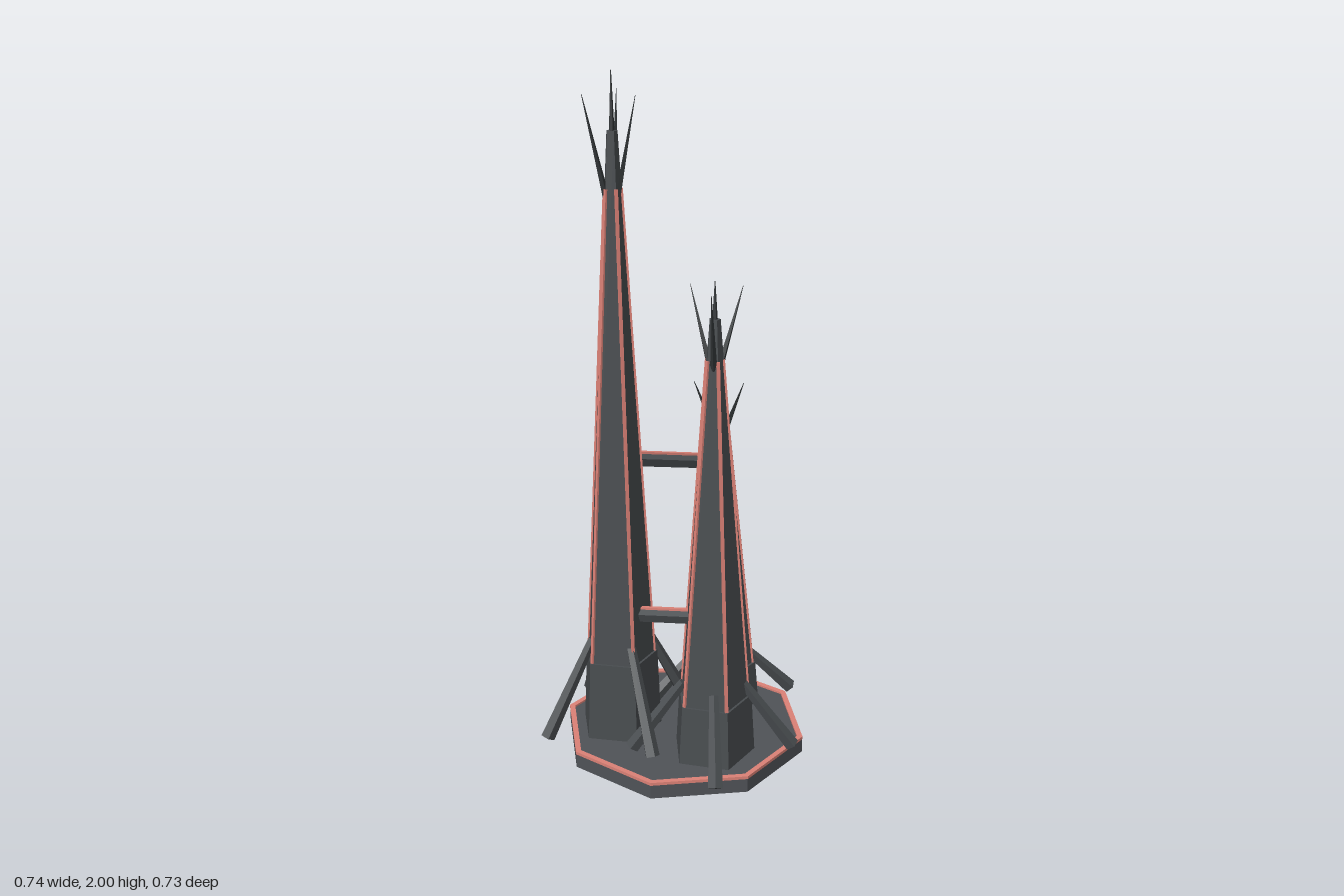
import * as THREE from 'three';

const V = (x, y, z) => new THREE.Vector3(x, y, z);
const UP = V(0, 1, 0);
const rad = THREE.MathUtils.degToRad;

const mat = (name, color) => {
  const m = new THREE.MeshStandardMaterial({ color, flatShading: true });
  m.name = name;
  return m;
};

export function createModel() {
  const stone = mat('dark stone', 0x494d50);
  const slabStone = mat('slab stone', 0x505358);
  const iron = mat('dark iron', 0x323638);
  const glow = mat('salmon trim', 0xdd8277);
  const root = new THREE.Group();
  root.name = 'threeSpires';

  const add = (parent, name, geo, material) => {
    const mesh = new THREE.Mesh(geo, material);
    mesh.name = name;
    parent.add(mesh);
    return mesh;
  };

  // Lay a geometry whose length runs along z between two points of its parent
  const span = (mesh, a, b) => {
    mesh.position.copy(a).add(b).multiplyScalar(0.5);
    mesh.quaternion.setFromRotationMatrix(new THREE.Matrix4().lookAt(b, a, UP));
    return mesh;
  };
  // Many-sided rod with one edge facing up
  const rod = (parent, name, a, b, r0, r1, sides, material) => {
    const geo = new THREE.CylinderGeometry(r1, r0, a.distanceTo(b), sides, 1, false, Math.PI);
    return span(add(parent, name, geo.rotateX(Math.PI / 2), material), a, b);
  };
  const bar = (parent, name, a, b, w, h, material) =>
    span(add(parent, name, new THREE.BoxGeometry(w, h, a.distanceTo(b)), material), a, b);

  // Octagonal base slab with a bright rim
  const baseX = 0.008, baseZ = 0.01, R = 0.365, r = 0.349;
  const slab = add(root, 'baseSlab', new THREE.CylinderGeometry(R, R, 0.045, 8, 1, false, Math.PI / 8), slabStone);
  slab.position.set(baseX, 0.0225, baseZ);
  const octagon = (radius, T) => new T(Array.from({ length: 8 }, (_, i) => {
    const a = (i + 0.5) * Math.PI / 4;
    return new THREE.Vector2(Math.cos(a) * radius, Math.sin(a) * radius);
  }));
  const rimShape = octagon(R + 0.001, THREE.Shape);
  rimShape.holes.push(octagon(r, THREE.Path));
  const rim = add(root, 'baseRim',
    new THREE.ExtrudeGeometry(rimShape, { depth: 0.009, bevelEnabled: false }).rotateX(-Math.PI / 2), glow);
  rim.position.set(baseX, 0.042, baseZ);

  // Five-sided spires: position, top of shaft, tip, and turn of sides, struts and horns
  const floor = 0.045;
  const spires = [
    { name: 'tallSpire', x: -0.14, z: 0.135, top: 1.84, tip: 2.0, turn: 27, strut: 27, horn: 0, hornTip: 1.94 },
    { name: 'middleSpire', x: 0.17, z: 0.085, top: 1.36, tip: 1.465, turn: 31, strut: 51, horn: 60, hornTip: 1.445 },
    { name: 'shortSpire', x: 0.008, z: -0.163, top: 1.04, tip: 1.14, turn: 36, strut: 36, horn: 0, hornTip: 1.1 },
  ];
  const baseR = 0.106, topR = 0.016;

  for (const s of spires) {
    const g = new THREE.Group();
    g.name = s.name;
    g.position.set(s.x, 0, s.z);
    root.add(g);
    const at = (deg, radius, y) => V(Math.cos(rad(deg)) * radius, y, Math.sin(rad(deg)) * radius);
    const height = s.top - floor;
    const ledge = floor + height * 0.135;
    const prism = (name, r0, r1, y0, y1, m) => {
      const p = add(g, name, new THREE.CylinderGeometry(r1, r0, y1 - y0, 5, 1, false, Math.PI / 2 - rad(s.turn)), m);
      p.position.y = (y0 + y1) / 2;
    };
    prism('plinth', 0.125, 0.114, floor, ledge, stone);
    prism('shaft', baseR, topR, ledge, s.top, stone);
    prism('finial', 0.008, 0.001, s.top, s.tip, iron);

    // Bright ridges along the shaft corners
    const ridgeTop = 0.9;
    for (let i = 0; i < 5; i++) {
      const a = s.turn + i * 72;
      bar(g, 'cornerRidge', at(a, baseR, ledge),
        at(a, THREE.MathUtils.lerp(baseR, topR, ridgeTop), THREE.MathUtils.lerp(ledge, s.top, ridgeTop)),
        0.009, 0.006, glow);
    }

    // Leaning struts around the foot
    for (let i = 0; i < 4; i++) {
      const a = s.strut + i * 90;
      rod(g, 'strut', at(a, 0.235, 0.058), at(a, 0.085, floor + height * 0.17), 0.022, 0.014, 5, stone);
    }

    // Outward-leaning horns near the tip
    for (let i = 0; i < 3; i++) {
      const a = s.horn + i * 120;
      rod(g, 'horn', at(a, 0.016, s.top - height * 0.105), at(a, 0.083, s.hornTip), 0.01, 0.0008, 4, iron);
    }
  }

  // Sloping bridges between the spires, each with a bright stripe on top
  const bridges = [
    [0, 2, 0.905, 0.84],
    [1, 2, 0.625, 0.69],
    [0, 1, 0.415, 0.475],
  ];
  for (const [i, j, y0, y1] of bridges) {
    const p = V(spires[i].x, y0, spires[i].z), q = V(spires[j].x, y1, spires[j].z);
    const a = p.clone().lerp(q, 0.17), b = p.clone().lerp(q, 0.87);
    const bridge = rod(root, 'bridge', a, b, 0.022, 0.022, 5, stone);
    const stripe = add(bridge, 'bridgeStripe', new THREE.BoxGeometry(0.012, 0.008, a.distanceTo(b)), glow);
    stripe.position.y = 0.02;
  }
  return root;
}
